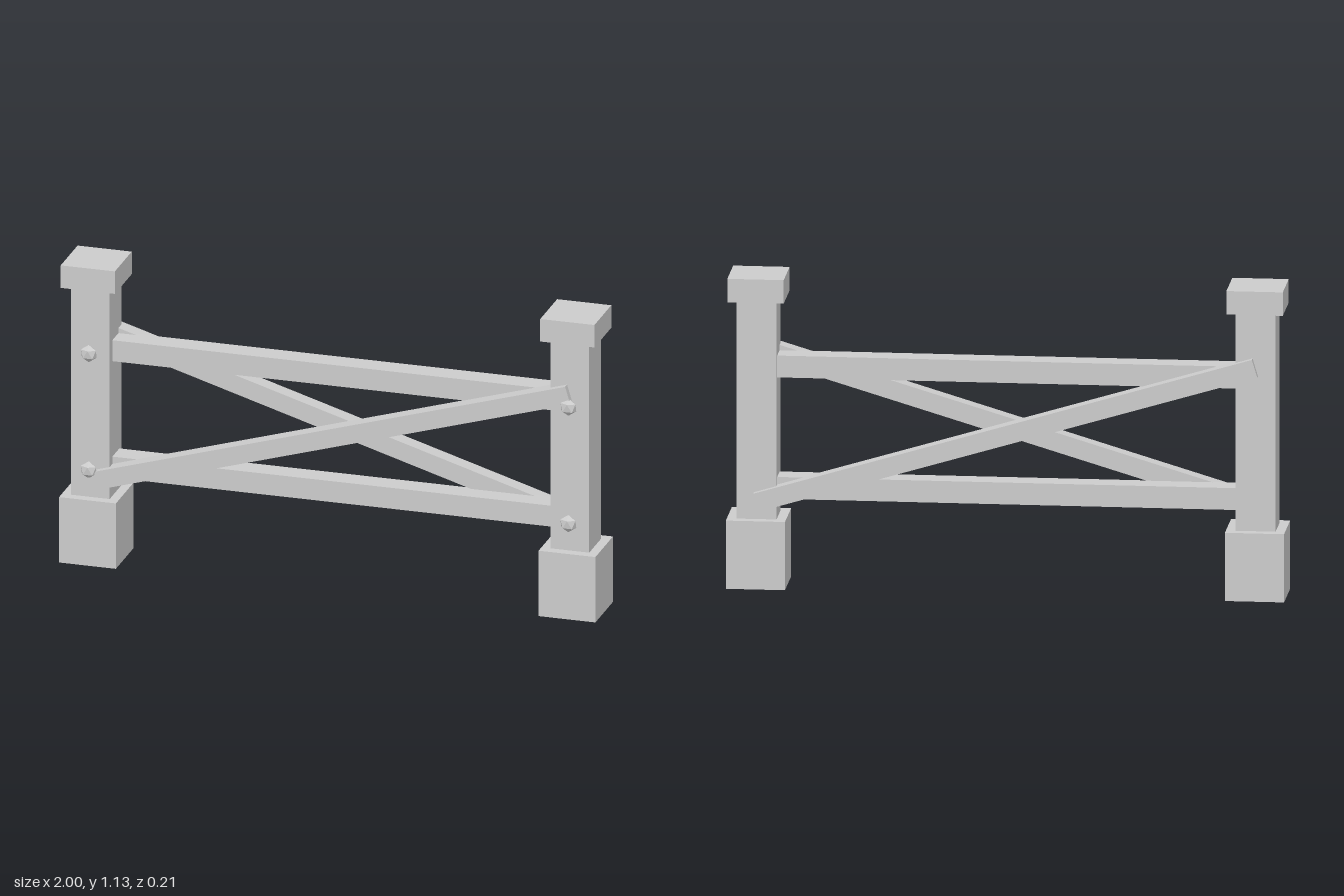
import * as THREE from 'three';

export function createModel() {
  const model = new THREE.Group();
  const stone = new THREE.MeshStandardMaterial({ color: 0xcccccc, flatShading: true });
  stone.name = 'plain grey';

  function add(name, geometry, x, y, z, parent = model) {
    const mesh = new THREE.Mesh(geometry, stone);
    mesh.name = name;
    mesh.position.set(x, y, z);
    parent.add(mesh);
    return mesh;
  }
  const box = (w, h, d) => new THREE.BoxGeometry(w, h, d);

  // Faceted bolt head with its points up and down, flattened front to back
  const boltGeometry = new THREE.IcosahedronGeometry(0.033, 0);
  boltGeometry.rotateX(-Math.atan((1 + Math.sqrt(5)) / 2));
  boltGeometry.scale(1, 1, 0.6);

  // Posts with footing, cap and two bolts each
  for (const side of [-1, 1]) {
    const post = new THREE.Group();
    post.name = side < 0 ? 'rightPost' : 'leftPost';
    post.position.x = side * 0.894;
    model.add(post);
    add('footing', box(0.212, 0.25, 0.212), 0, 0.125, 0, post);
    add('shaft', box(0.144, 0.8, 0.142), 0, 0.65, 0, post);
    add('cap', box(0.202, 0.086, 0.204), 0, 1.092, 0, post);
    for (const y of [0.36, 0.805]) add('bolt', boltGeometry, 0, y, 0.09, post);
  }

  // Horizontal rails between the posts
  add('lowerRail', box(1.66, 0.08, 0.085), 0, 0.36, -0.004);
  add('upperRail', box(1.66, 0.08, 0.085), 0, 0.805, -0.004);

  // Crossed diagonal braces, one on each face
  for (const face of [1, -1]) {
    const brace = add(face > 0 ? 'frontBrace' : 'backBrace', box(1.865, 0.068, 0.06), 0, 0.583, face * 0.065);
    brace.rotation.z = face * 0.291;
  }

  return model;
}
